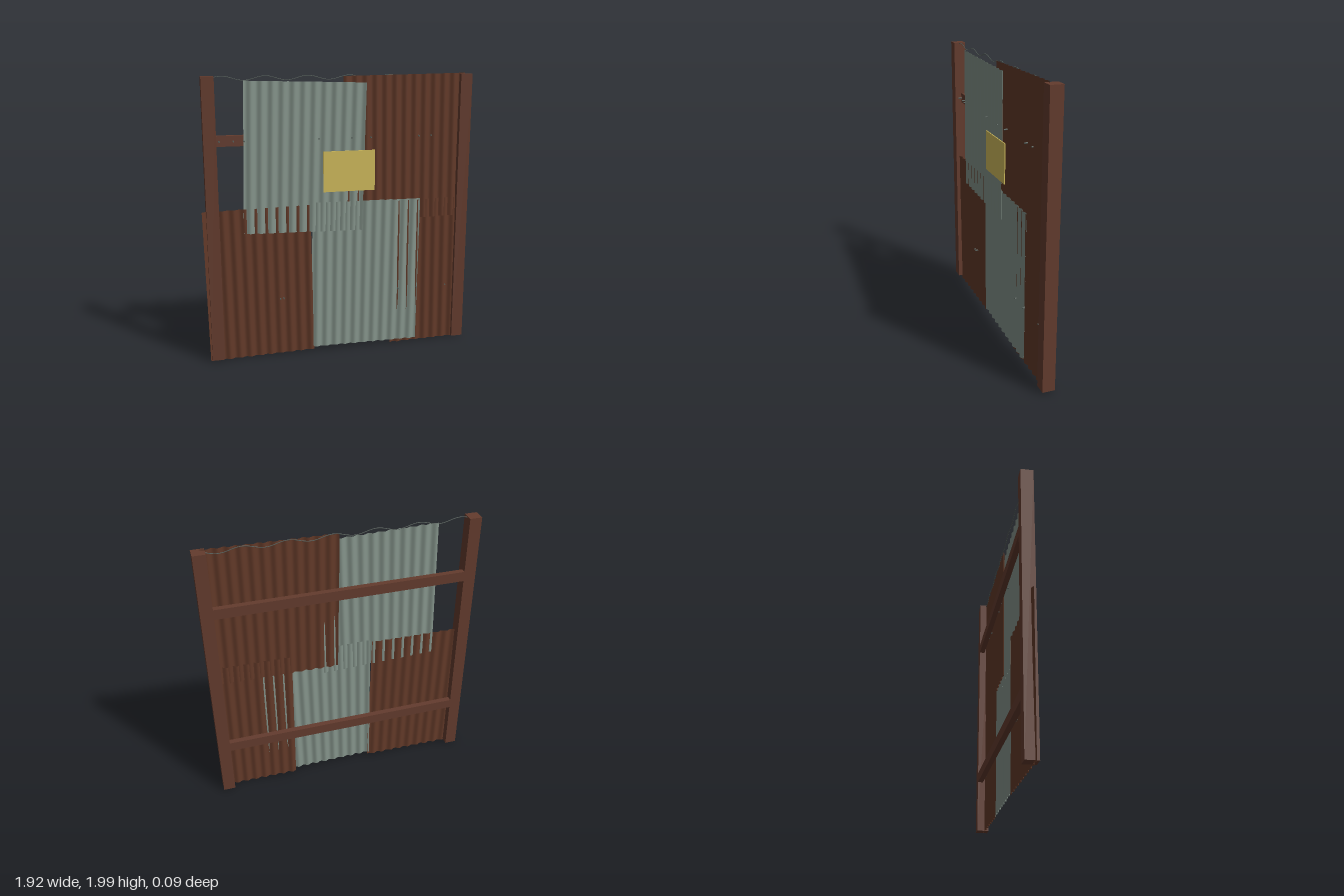
import * as THREE from 'three';

const mat = (name, color, side = THREE.FrontSide) => {
  const m = new THREE.MeshStandardMaterial({ color, side });
  m.name = name;
  return m;
};

export function createModel() {
  const root = new THREE.Group();
  root.name = 'scrapWall';
  const wood = mat('brown beam', 0x643c2e);
  const rust = mat('rusty sheet', 0x623928, THREE.DoubleSide);
  const tin = mat('grey sheet', 0x84938a, THREE.DoubleSide);
  const yellow = mat('yellow plate', 0xd0bb5c);
  const steel = mat('dark steel', 0x59635e);

  const add = (name, geo, material, x, y, z) => {
    const m = new THREE.Mesh(geo, material);
    m.name = name;
    m.position.set(x, y, z);
    root.add(m);
    return m;
  };
  const box = (name, material, x0, x1, y0, y1, z0, z1) =>
    add(name, new THREE.BoxGeometry(x1 - x0, y1 - y0, z1 - z0), material,
      (x0 + x1) / 2, (y0 + y1) / 2, (z0 + z1) / 2);

  // Posts and the two rails behind the sheets
  box('rightPost', wood, -0.935, -0.85, 0.015, 1.99, -0.045, 0.042);
  box('leftPost', wood, 0.875, 0.96, 0.015, 1.99, -0.045, 0.042);
  for (const [name, y] of [['upperRail', 1.562], ['lowerRail', 0.43]])
    box(name, wood, -0.85, 0.875, y - 0.036, y + 0.036, -0.045, -0.006);

  // Corrugated sheet, slightly tilted; (px, py) is a point on one ridge
  const amp = 0.007;
  const sheet = (name, material, cx, cy, z, w, h, tilt, pitch, px, py) => {
    const geo = new THREE.PlaneGeometry(w, h, Math.round(w / pitch) * 10, 1);
    const ridge = (px - cx) * Math.cos(tilt) + (py - cy) * Math.sin(tilt);
    const p = geo.attributes.position;
    for (let i = 0; i < p.count; i++)
      p.setZ(i, amp * Math.cos((p.getX(i) - ridge) / pitch * Math.PI * 2));
    geo.computeVertexNormals();
    add(name, geo, material, cx, cy, z).rotation.z = tilt;
  };
  sheet('upperGreySheet', tin, -0.25, 1.43, 0.025, 0.845, 1.04, -0.026, 0.073, -0.4155, 1.0);
  sheet('upperRustySheet', rust, 0.475, 1.475, 0.0135, 0.885, 1.03, 0.016, 0.0715, 0.06, 1.1);
  sheet('lowerRustySheetRight', rust, -0.58, 0.553, 0.016, 0.75, 1.085, 0.018, 0.074, -0.452, 1.0);
  sheet('lowerGreySheet', tin, 0.193, 0.572, 0.0235, 0.8, 1.08, -0.012, 0.0713, -0.092, 1.0);
  sheet('lowerRustySheetLeft', rust, 0.65, 0.553, 0.0118, 0.54, 1.09, 0.013, 0.0713, 0.44, 0.72);

  // Blank yellow plate
  box('yellowPlate', yellow, -0.125, 0.247, 1.19, 1.475, 0.033, 0.04);

  // Nail heads along both rails
  const nailGeo = new THREE.CylinderGeometry(0.005, 0.005, 0.036, 8).rotateX(Math.PI / 2);
  const rows = [
    [1.562, [-0.83, -0.735, -0.665, -0.15, 0.085, 0.22, 0.575, 0.67]],
    [0.43, [-0.44, -0.415, 0.44, 0.585, 0.815]],
  ];
  for (const [y, xs] of rows)
    for (const x of xs) add('nail', nailGeo, steel, x, y, x > -0.7 && x < 0.6 ? 0.015 : 0.005);

  // Wavy wire strung between the post tops
  const pts = [];
  for (let i = 0; i <= 48; i++) {
    const x = -0.86 + (1.74 * i) / 48;
    pts.push(new THREE.Vector3(x, 1.976 + 0.014 * Math.cos(((x + 0.8) / 0.29) * Math.PI * 2), 0.003));
  }
  add('wire', new THREE.TubeGeometry(new THREE.CatmullRomCurve3(pts), 120, 0.0025, 6), steel, 0, 0, 0);

  return root;
}
